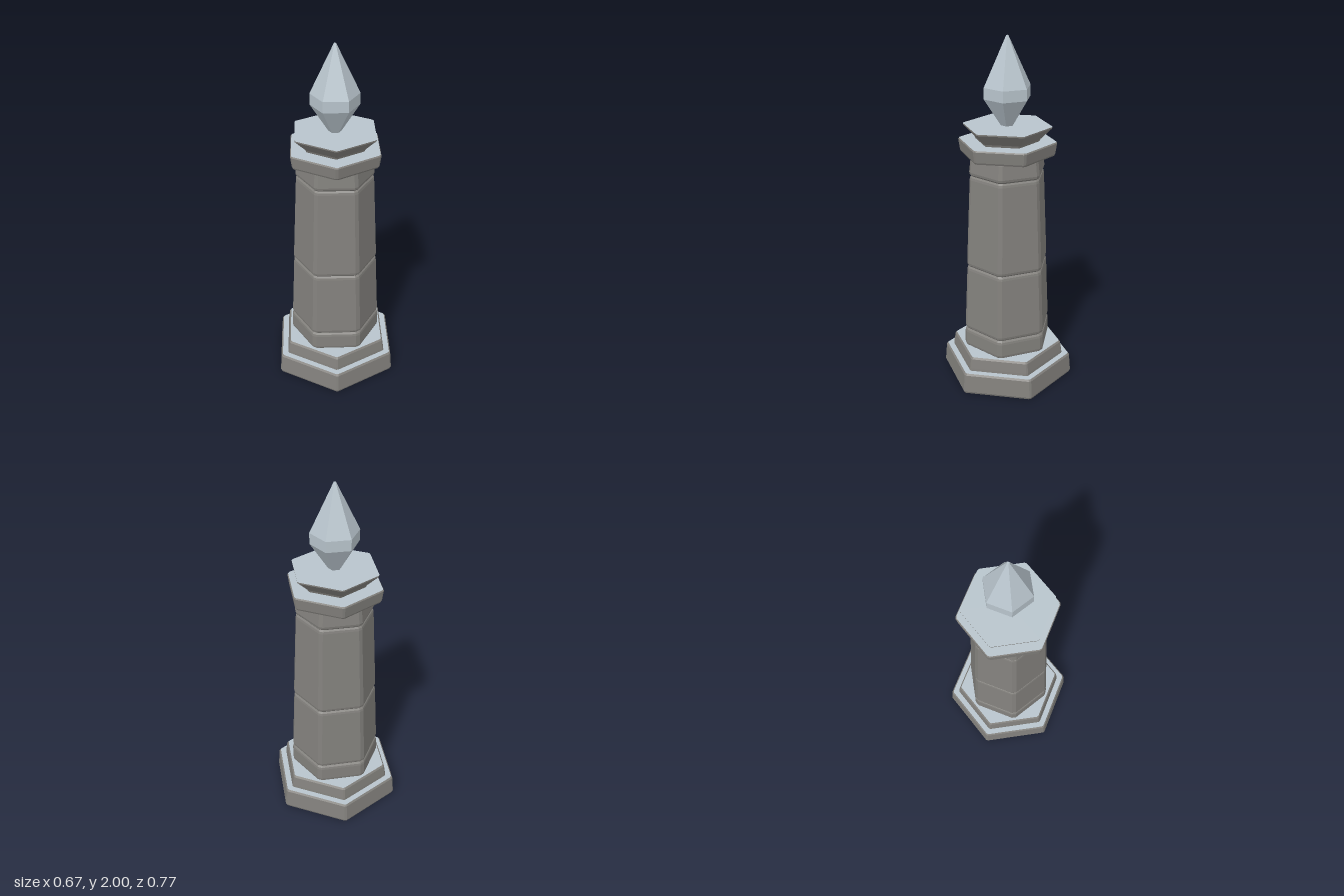
import * as THREE from 'three';

const stone = new THREE.MeshStandardMaterial({ color: 0x83817d });
stone.name = 'stone';
const ice = new THREE.MeshStandardMaterial({ color: 0xb8c4cc });
ice.name = 'pale ice';

// One hexagonal ring with slightly cut corners; turn = 0 puts corners on the z axis.
function ring([r, y], turn, cut) {
  const pts = [];
  const corner = (k) => new THREE.Vector3(Math.sin(turn + k * Math.PI / 3) * r, y, Math.cos(turn + k * Math.PI / 3) * r);
  for (let k = 0; k < 6; k++) {
    const c = corner(k);
    if (!cut) { pts.push(c); continue; }
    pts.push(c.clone().lerp(corner(k - 1), cut), c.clone().lerp(corner(k + 1), cut));
  }
  return pts;
}

// Stacks hexagonal rings given as [radius, height]; the top face forms its own group.
function hexStack(name, profile, turn, cut, sideMat, topMat) {
  const rings = profile.map((p) => ring(p, turn, cut));
  const n = rings[0].length, last = rings.length - 1, tris = [];
  const base = new THREE.Vector3(0, profile[0][1], 0);
  const top = new THREE.Vector3(0, profile[last][1], 0);
  for (let i = 0; i < n; i++) {
    const j = (i + 1) % n;
    tris.push(base, rings[0][j], rings[0][i]);
    for (let s = 0; s < last; s++) {
      const a = rings[s], b = rings[s + 1];
      tris.push(a[i], a[j], b[j], a[i], b[j], b[i]);
    }
  }
  const sideCount = tris.length;
  for (let i = 0; i < n; i++) tris.push(top, rings[last][i], rings[last][(i + 1) % n]);
  const geo = new THREE.BufferGeometry().setFromPoints(tris);
  geo.computeVertexNormals();
  geo.addGroup(0, sideCount, 0);
  geo.addGroup(sideCount, n * 3, 1);
  const mesh = new THREE.Mesh(geo, [sideMat, topMat]);
  mesh.name = name;
  return mesh;
}

export function createModel() {
  const model = new THREE.Group();
  model.name = 'stonePillar';
  const side = Math.PI / 6; // corners on the x axis

  // Stepped foot
  model.add(hexStack('baseStep', [[0.382, 0], [0.388, 0.012], [0.379, 0.115], [0.370, 0.125]], 0, 0.02, stone, ice));
  model.add(hexStack('upperStep', [[0.333, 0.12], [0.331, 0.14], [0.322, 0.196], [0.313, 0.206]], 0, 0.02, stone, ice));

  // Tapered column: each block has softened ends, leaving narrow grooves
  const blocks = [
    ['footBlock', 0.2, 0.315, 0.266, 0.265],
    ['lowerBlock', 0.315, 0.712, 0.263, 0.246],
    ['upperBlock', 0.712, 1.252, 0.246, 0.222],
    ['neckBlock', 1.252, 1.37, 0.224, 0.215],
  ];
  for (const [name, y0, y1, r0, r1] of blocks) {
    model.add(hexStack(name, [
      [r0 - 0.012, y0], [r0 - 0.003, y0 + 0.009], [r0, y0 + 0.022],
      [r1, y1 - 0.022], [r1 - 0.003, y1 - 0.009], [r1 - 0.012, y1],
    ], side, 0.06, stone, stone));
  }

  // Cap plate and flared slab
  model.add(hexStack('capPlate', [[0.262, 1.36], [0.268, 1.37], [0.277, 1.43], [0.272, 1.437]], 0, 0.03, stone, ice));
  model.add(hexStack('flaredSlab', [[0.175, 1.43], [0.185, 1.45], [0.248, 1.512], [0.249, 1.52]], 0, 0.03, stone, ice));

  // Crystal
  model.add(hexStack('crystal', [[0.03, 1.51], [0.133, 1.67], [0.133, 1.732], [0.006, 2]], side, 0, ice, ice));
  return model;
}
